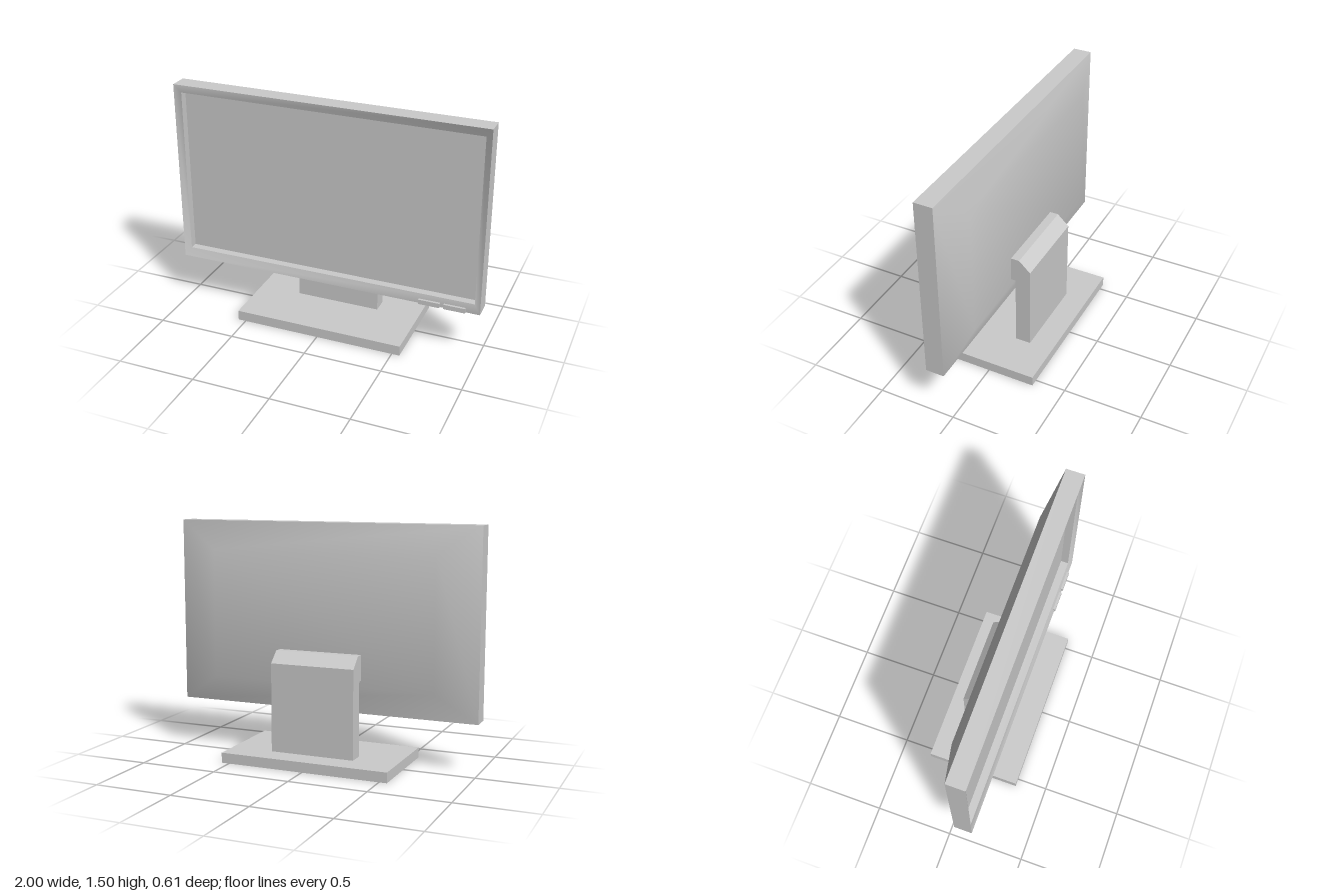
import * as THREE from 'three';
import { toCreasedNormals } from 'three/addons/utils/BufferGeometryUtils.js';

const material = new THREE.MeshStandardMaterial({ color: 0xcccccc });

function addPart(group, name, geometry, x = 0, y = 0, z = 0) {
  const mesh = new THREE.Mesh(geometry, material);
  mesh.name = name;
  mesh.position.set(x, y, z);
  group.add(mesh);
  return mesh;
}

// Shell through rectangular rings [half width, bottom, top, z], closed at the first ring.
function rectangleLoft(rings) {
  const positions = [];
  const index = [];
  for (const [w, bottom, top, z] of rings) {
    positions.push(-w, bottom, z, w, bottom, z, w, top, z, -w, top, z);
  }
  for (let r = 0; r < rings.length - 1; r++) {
    for (let i = 0; i < 4; i++) {
      const a = r * 4 + i;
      const b = r * 4 + (i + 1) % 4;
      index.push(a, b, b + 4, a, b + 4, a + 4);
    }
  }
  index.push(0, 2, 1, 0, 3, 2);
  const geometry = new THREE.BufferGeometry();
  geometry.setAttribute('position', new THREE.Float32BufferAttribute(positions, 3));
  geometry.setIndex(index);
  return toCreasedNormals(geometry, 0.7);
}

export function createModel() {
  const model = new THREE.Group();
  model.name = 'monitor';

  // Housing: tapered back, straight rim, inward sloping bezel, recess walls
  addPart(model, 'housing', rectangleLoft([
    [0.74, 0.49, 1.315, -0.02],
    [1, 0.315, 1.5, 0.047],
    [1, 0.315, 1.5, 0.165],
    [0.96, 0.37, 1.445, 0.145],
    [0.96, 0.37, 1.445, 0.095],
  ]));

  // Screen at the bottom of the recess
  addPart(model, 'screen', new THREE.PlaneGeometry(1.92, 1.075), 0, 0.9075, 0.095);

  // Buttons on the lower bezel
  for (const x of [0.682, 0.842]) {
    addPart(model, 'button', new THREE.BoxGeometry(0.135, 0.03, 0.027), x, 0.325, 0.1585);
  }

  // Stand neck: side profile as (z, y), extruded across the width
  const profile = new THREE.Shape([
    [-0.05, 0.06], [-0.05, 0.54], [-0.02, 0.54], [-0.02, 0.7],
    [-0.075, 0.7], [-0.15, 0.63], [-0.15, 0.06],
  ].map(([z, y]) => new THREE.Vector2(z, y)));
  const neck = new THREE.ExtrudeGeometry(profile, { depth: 0.55, bevelEnabled: false });
  neck.translate(0, 0, -0.275).rotateY(-Math.PI / 2);
  addPart(model, 'standNeck', neck);

  // Stand base
  addPart(model, 'standBase', new THREE.BoxGeometry(1.1, 0.065, 0.608), 0, 0.0325, 0);

  return model;
}
